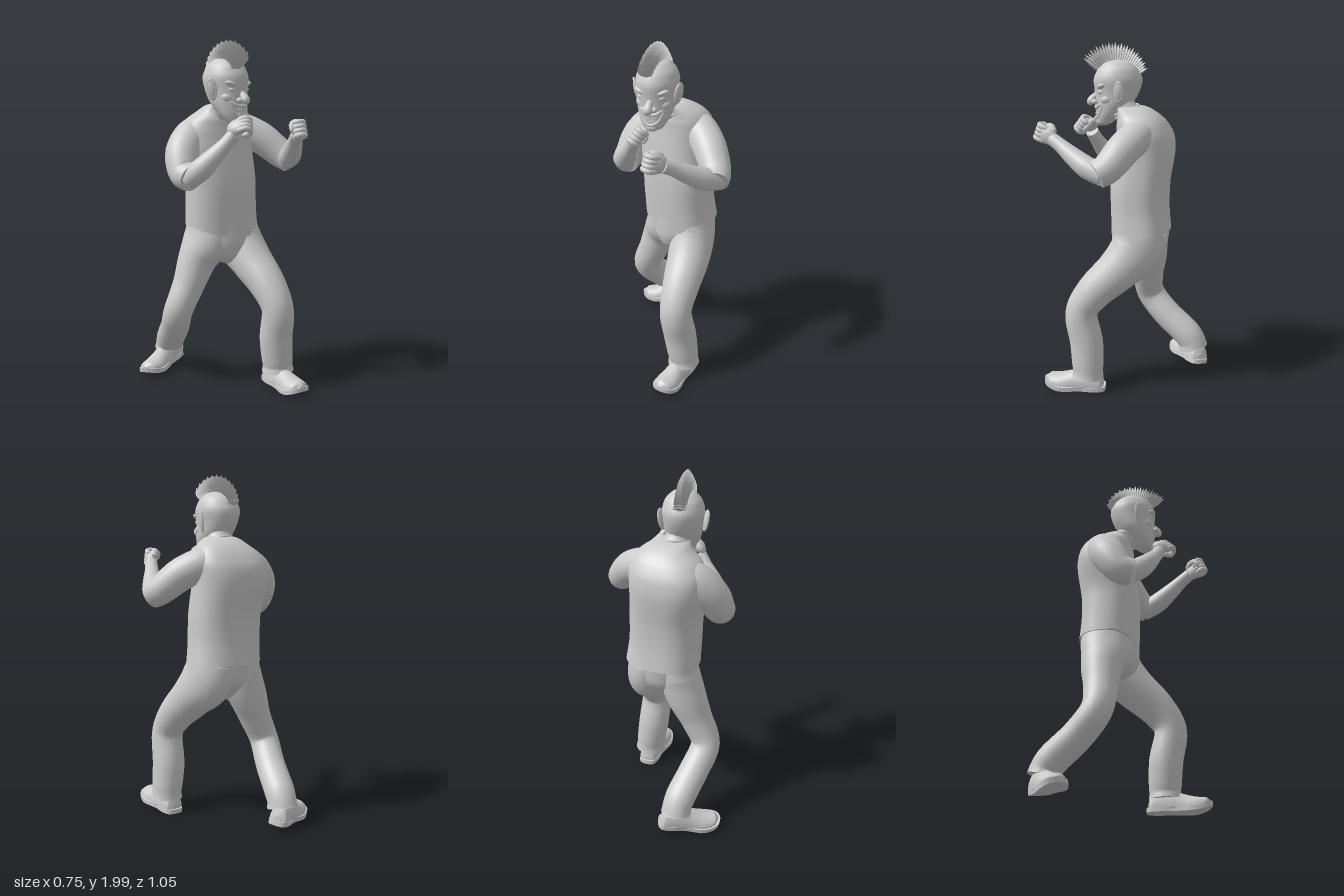
import * as THREE from 'three';

const grey = new THREE.MeshStandardMaterial({ color: 0xcccccc });
const flat = new THREE.MeshStandardMaterial({ color: 0xcccccc, flatShading: true });
const V = (x, y, z) => new THREE.Vector3(x, y, z);

function mesh(name, geo, mat = grey) {
  const m = new THREE.Mesh(geo, mat);
  m.name = name;
  return m;
}

// Skin of elliptical rings through rows [x, y, z, ru, rv].
// Rings stand across the path, or across a fixed direction "along"; "power" under 1 makes them boxier.
function skin(rows, { ref = V(1, 0, 0), along = null, n = 28, steps = 5, power = 1 } = {}) {
  const path = new THREE.CatmullRomCurve3(rows.map(r => V(r[0], r[1], r[2])));
  const size = new THREE.CatmullRomCurve3(rows.map(r => V(r[3], r[4] ?? r[3], 0)));
  const count = (rows.length - 1) * steps, pos = [], idx = [];
  const box = w => Math.sign(w) * Math.abs(w) ** power;
  const ring = i => {
    const k = i / count, c = path.getPoint(k), s = size.getPoint(k);
    const t = along ? along.clone() : path.getTangent(k);
    const u = ref.clone().addScaledVector(t, -ref.dot(t)).normalize();
    const v = t.clone().cross(u);
    for (let j = 0; j < n; j++) {
      const a = j / n * Math.PI * 2;
      const p = c.clone().addScaledVector(u, Math.max(s.x, 0.001) * box(Math.cos(a)))
        .addScaledVector(v, Math.max(s.y, 0.001) * box(Math.sin(a)));
      pos.push(p.x, p.y, p.z);
    }
    return c;
  };
  for (let i = 0; i <= count; i++) ring(i);
  for (let i = 0; i < count; i++) for (let j = 0; j < n; j++) {
    const a = i * n + j, b = i * n + (j + 1) % n;
    idx.push(a, b, a + n, b, b + n, a + n);
  }
  for (const end of [0, count]) {
    const start = pos.length / 3, c = ring(end), mid = start + n;
    pos.push(c.x, c.y, c.z);
    for (let j = 0; j < n; j++) {
      const a = start + j, b = start + (j + 1) % n;
      if (end) idx.push(a, b, mid); else idx.push(b, a, mid);
    }
  }
  const g = new THREE.BufferGeometry();
  g.setAttribute('position', new THREE.Float32BufferAttribute(pos, 3));
  g.setIndex(idx);
  g.computeVertexNormals();
  return g;
}

function bend(geo, rule) {
  const p = geo.attributes.position;
  for (let i = 0; i < p.count; i++) p.setY(i, rule(p.getX(i), p.getY(i), p.getZ(i)));
  geo.computeVertexNormals();
  return geo;
}

function ball(name, x, y, z, sx, sy, sz, rz = 0) {
  const m = mesh(name, new THREE.SphereGeometry(1, 20, 14));
  m.position.set(x, y, z);
  m.scale.set(sx, sy, sz);
  m.rotation.z = rz;
  return m;
}

// Clenched hand: y runs along the forearm, z is the palm side
function makeFist(name, at, dir, palm, side) {
  const g = new THREE.Group();
  g.name = name;
  const d = dir.normalize(), x = d.clone().cross(palm).normalize();
  g.quaternion.setFromRotationMatrix(new THREE.Matrix4().makeBasis(x, d, x.clone().cross(d)));
  g.position.copy(at);
  g.add(ball('palm', 0, -0.005, -0.003, 0.05, 0.062, 0.032));
  for (let i = 0; i < 4; i++) {
    const fx = (i - 1.5) * 0.024;
    g.add(mesh('finger', skin([[fx, 0, -0.016, 0.013], [fx, 0.045, -0.018, 0.016], [fx, 0.062, 0.008, 0.015],
      [fx, 0.04, 0.032, 0.015], [fx, 0.012, 0.028, 0.012], [fx, 0.004, 0.024, 0.003]], { n: 10, steps: 3 })));
  }
  g.add(mesh('thumb', skin([[0.032 * side, -0.035, 0.005, 0.018], [0.047 * side, 0.01, 0.022, 0.018],
    [0.025 * side, 0.034, 0.045, 0.016], [-0.005 * side, 0.038, 0.048, 0.012], [-0.016 * side, 0.038, 0.048, 0.002]],
  { ref: V(0, 0, 1), n: 10, steps: 3 })));
  return g;
}

// Shoe with the heel at the origin and the toe towards +z
function makeShoe(name) {
  const g = new THREE.Group();
  g.name = name;
  const spring = z => 2 * Math.max(0, z - 0.22) ** 2;
  const upper = skin([[0, 0.03, 0, 0.02, 0.03], [0, 0.03, 0.015, 0.052, 0.085], [0, 0.03, 0.1, 0.058, 0.11],
    [0, 0.03, 0.18, 0.062, 0.082], [0, 0.03, 0.26, 0.07, 0.058], [0, 0.03, 0.315, 0.055, 0.04],
    [0, 0.03, 0.34, 0.01, 0.01]], { along: V(0, 0, 1) });
  g.add(mesh('upper', bend(upper, (x, y, z) => Math.max(y, 0.02) + spring(z))));
  const half = [[0.045, 0], [0.06, 0.06], [0.058, 0.14], [0.077, 0.26], [0.055, 0.33]];
  const outline = [...half, [0, 0.352], ...half.map(([a, b]) => [-a, b]).reverse(), [0, -0.012]];
  const shape = new THREE.Shape(new THREE.CatmullRomCurve3(outline.map(([a, b]) => V(a, b, 0)), true)
    .getPoints(48).slice(0, -1).map(p => new THREE.Vector2(p.x, p.y)));
  const sole = new THREE.ExtrudeGeometry(shape, { depth: 0.026, bevelEnabled: false });
  sole.rotateX(Math.PI / 2).translate(0, 0.03, 0);
  g.add(mesh('sole', bend(sole, (x, y, z) => y + spring(z))));
  return g;
}

function makeHead() {
  const g = new THREE.Group();
  g.name = 'head';
  g.position.x = -0.077;
  g.add(mesh('skull', skin([[0, 1.535, 0.118, 0.015, 0.015], [0, 1.55, 0.112, 0.05, 0.042], [0, 1.6, 0.088, 0.082, 0.074],
    [0, 1.66, 0.058, 0.102, 0.106], [0, 1.73, 0.04, 0.109, 0.128], [0, 1.79, 0.035, 0.116, 0.138],
    [0, 1.85, 0.035, 0.1, 0.115], [0, 1.89, 0.035, 0.06, 0.07], [0, 1.906, 0.035, 0.004, 0.004]],
  { along: V(0, 1, 0), n: 36 })));
  for (const s of [-1, 1]) {
    g.add(ball('brow', s * 0.046, 1.755, 0.132, 0.05, 0.018, 0.03, s * 0.3));
    g.add(ball('eye', s * 0.05, 1.726, 0.134, 0.026, 0.015, 0.02, s * 0.2));
    g.add(ball('cheek', s * 0.054, 1.682, 0.1, 0.044, 0.034, 0.044, s * 0.4));
    g.add(ball('nostril', s * 0.026, 1.672, 0.17, 0.018, 0.015, 0.02));
    // Ear: a thin shell with a raised rim
    const ear = new THREE.Group();
    ear.name = 'ear';
    ear.add(ball('earShell', 0, 0, 0, 0.012, 0.054, 0.026));
    const rim = mesh('earRim', new THREE.TorusGeometry(0.027, 0.007, 8, 20));
    rim.rotation.y = Math.PI / 2;
    rim.scale.set(0.9, 1.85, 1);
    ear.add(rim);
    ear.position.set(s * 0.121, 1.732, 0.05);
    ear.rotation.set(-0.12, s * -0.5, s * -0.2);
    g.add(ear);
  }
  g.add(mesh('nose', skin([[0, 1.74, 0.146, 0.014], [0, 1.712, 0.157, 0.016], [0, 1.69, 0.177, 0.021],
    [0, 1.672, 0.188, 0.025], [0, 1.655, 0.187, 0.017], [0, 1.65, 0.185, 0.003]], { n: 14 })));
  // Grinning mouth with two rows of teeth
  const lips = new THREE.CatmullRomCurve3([[-0.064, 1.662, 0.132], [-0.03, 1.642, 0.158], [0.03, 1.642, 0.158],
    [0.064, 1.662, 0.132], [0.042, 1.6, 0.147], [0, 1.578, 0.162], [-0.042, 1.6, 0.147]].map(p => V(...p)), true);
  g.add(mesh('lips', new THREE.TubeGeometry(lips, 48, 0.009, 8, true)));
  for (let i = -3; i <= 3; i++) for (const y of [1.629, 1.597]) {
    if (y < 1.61 && Math.abs(i) > 2) continue;
    const tooth = mesh('tooth', new THREE.BoxGeometry(0.012, 0.02, 0.014));
    tooth.position.set(i * 0.0135, y, 0.158 - i * i * 0.0018);
    g.add(tooth);
  }
  g.add(ball('chin', 0, 1.56, 0.135, 0.036, 0.026, 0.026));
  // Crest of overlapping pointed blades fanned over the skull
  const crest = new THREE.Group();
  crest.name = 'mohawk';
  const profile = [[1, 0], [0.95, 0.55], [0.5, 0.82], [0, 1]].map(p => new THREE.Vector2(...p));
  const count = 26;
  for (let i = 0; i < count; i++) {
    const k = i / (count - 1), a = 0.66 + k * 2.03;
    const reach = 0.232 - 0.045 * k * k + (i % 2) * 0.008, inner = 0.115;
    const blade = mesh('hairBlade', new THREE.LatheGeometry(profile, 4), flat);
    blade.scale.set(0.038, reach - inner, 0.012);
    blade.position.set(-0.022 + 0.03 * k, 1.768 + Math.sin(a) * inner, 0.045 + Math.cos(a) * inner);
    blade.rotation.x = Math.PI / 2 - a;
    crest.add(blade);
  }
  g.add(crest);
  return g;
}

export function createModel() {
  const model = new THREE.Group();
  const up = V(0, 1, 0), twist = V(0.94, 0, 0.34);

  // Shirt: body turned with the left shoulder forward, hem dipping in front
  const shirt = skin([[0.018, 0.945, -0.09, 0.213, 0.166], [0.005, 1.08, -0.084, 0.205, 0.163], [0, 1.22, -0.086, 0.205, 0.166],
    [-0.015, 1.4, -0.113, 0.216, 0.168], [-0.012, 1.49, -0.112, 0.216, 0.157], [-0.005, 1.56, -0.092, 0.19, 0.135],
    [0, 1.605, -0.07, 0.145, 0.11], [-0.02, 1.638, -0.042, 0.1, 0.088], [-0.035, 1.648, -0.02, 0.075, 0.075]],
  { ref: twist, along: up, n: 44, power: 0.8 });
  model.add(mesh('shirt', bend(shirt, (x, y, z) => y - 0.055 * Math.max(0, (z + 0.085) / 0.17) * Math.max(0, Math.min(1, (1.2 - y) / 0.25)))));
  model.add(mesh('leftSleeve', skin([[0.07, 1.51, -0.08, 0.075], [0.135, 1.5, -0.045, 0.094], [0.215, 1.447, 0.04, 0.093],
    [0.284, 1.355, 0.14, 0.083], [0.296, 1.325, 0.2, 0.077]])));
  model.add(mesh('rightSleeve', skin([[-0.07, 1.48, -0.145, 0.08], [-0.15, 1.465, -0.15, 0.105], [-0.25, 1.375, -0.13, 0.1],
    [-0.295, 1.27, -0.07, 0.085], [-0.3, 1.25, -0.005, 0.077]], { ref: V(-0.2, 1, 0.3) })));
  model.add(mesh('neck', skin([[-0.04, 1.6, -0.01, 0.076], [-0.055, 1.64, 0.01, 0.074], [-0.07, 1.72, 0.03, 0.07]])));
  const collar = mesh('collar', new THREE.TorusGeometry(0.08, 0.007, 10, 36));
  collar.position.set(-0.043, 1.625, 0.0);
  collar.rotation.x = Math.PI / 2 + 0.35;
  model.add(collar);

  // Bare forearms and raised fists
  model.add(mesh('leftForearm', skin([[0.3, 1.322, 0.16, 0.06], [0.25, 1.352, 0.235, 0.061], [0.185, 1.405, 0.31, 0.051],
    [0.125, 1.458, 0.375, 0.039], [0.085, 1.49, 0.42, 0.037]])));
  model.add(mesh('rightForearm', skin([[-0.305, 1.24, -0.03, 0.06], [-0.28, 1.295, 0.04, 0.062], [-0.24, 1.365, 0.1, 0.052],
    [-0.19, 1.44, 0.15, 0.039], [-0.16, 1.49, 0.178, 0.037]])));
  model.add(makeFist('leftFist', V(0.062, 1.508, 0.447), V(-0.45, 0.3, 0.65), V(-0.5, -0.2, -0.8), -1));
  model.add(makeFist('rightFist', V(-0.145, 1.53, 0.203), V(0.4, 0.22, 0.75), V(0.45, -0.55, -0.4), 1));
  model.add(makeHead());

  // Trousers: hips, bent front leg and trailing back leg
  model.add(mesh('hips', skin([[0, 0.725, -0.06, 0.025, 0.07], [0.005, 0.77, -0.065, 0.095, 0.12],
    [0.015, 0.85, -0.078, 0.168, 0.16], [0.02, 0.97, -0.085, 0.2, 0.166]], { ref: twist, along: up, n: 36 })));
  model.add(mesh('leftLeg', skin([[0.1, 0.96, -0.075, 0.115, 0.15], [0.11, 0.85, -0.05, 0.122, 0.158],
    [0.115, 0.73, 0.06, 0.124, 0.125], [0.11, 0.6, 0.2, 0.106, 0.105], [0.107, 0.48, 0.275, 0.093], [0.125, 0.3, 0.25, 0.096],
    [0.142, 0.17, 0.245, 0.092], [0.148, 0.125, 0.245, 0.088], [0.149, 0.09, 0.247, 0.094]])));
  model.add(mesh('rightLeg', skin([[-0.06, 0.96, -0.11, 0.115, 0.15], [-0.08, 0.86, -0.117, 0.118, 0.152],
    [-0.125, 0.74, -0.152, 0.114, 0.115], [-0.185, 0.6, -0.163, 0.094], [-0.243, 0.45, -0.19, 0.085],
    [-0.19, 0.325, -0.28, 0.086], [-0.12, 0.21, -0.4, 0.087], [-0.103, 0.16, -0.432, 0.084], [-0.1, 0.125, -0.44, 0.089]])));

  // Shoes
  const left = makeShoe('leftShoe');
  left.position.set(0.165, 0.006, 0.155);
  left.rotation.y = -0.25;
  const right = makeShoe('rightShoe');
  right.position.set(-0.006, 0.045, -0.465);
  right.rotation.set(0.12, -1.32, 0.12, 'YXZ');
  model.add(left, right);
  return model;
}
